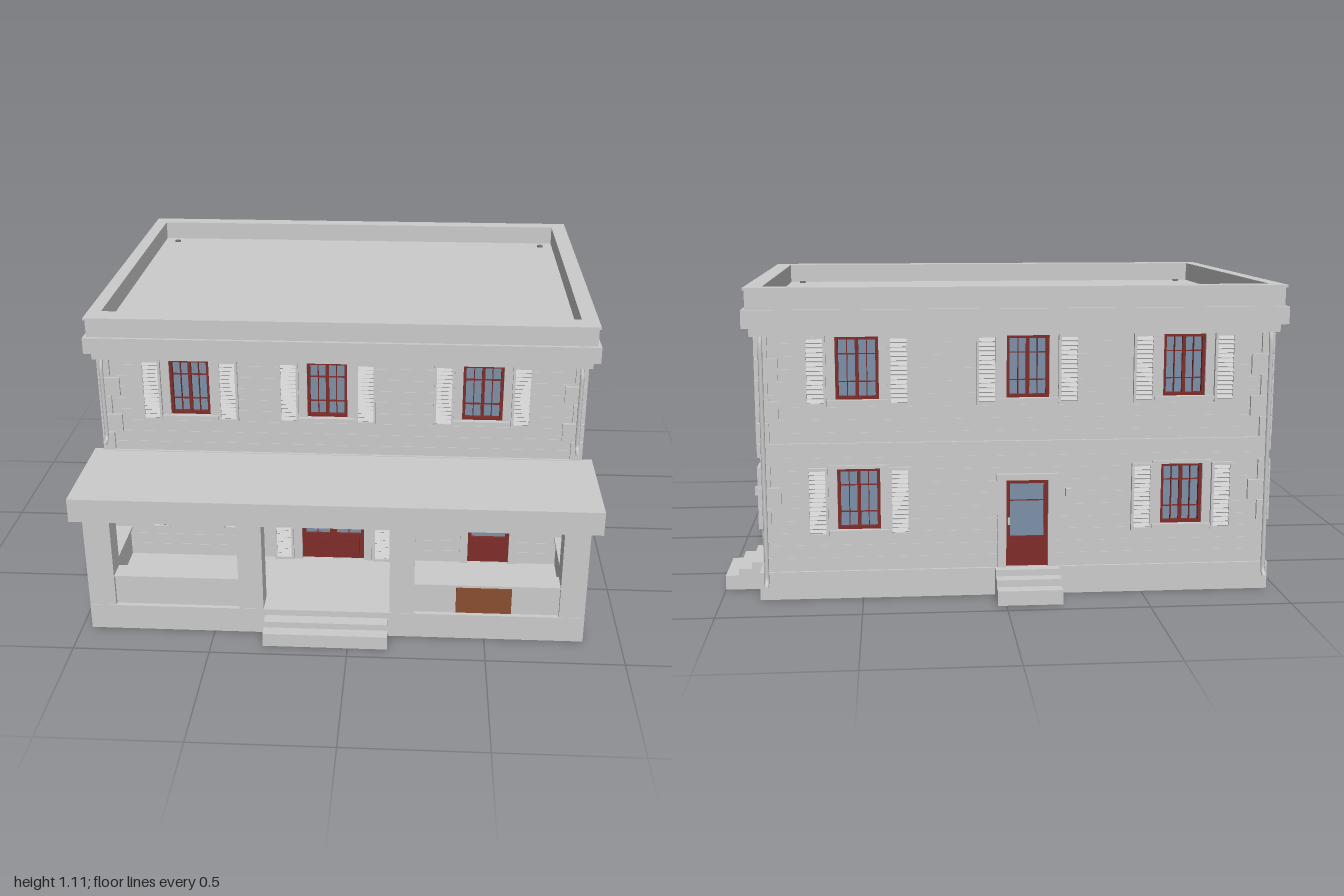
import * as THREE from 'three';

const mat = (color) => new THREE.MeshStandardMaterial({ color });
const grey = mat(0xcccccc), red = mat(0x7f2d2a), glass = mat(0x7d91a8), brown = mat(0x8a4f30);

function add(parent, name, geo, m = grey) {
  const mesh = new THREE.Mesh(geo, m);
  mesh.name = name;
  parent.add(mesh);
  return mesh;
}

// Box given by its minimum and maximum on each axis
function box(parent, name, x0, x1, y0, y1, z0, z1, m = grey) {
  const b = add(parent, name, new THREE.BoxGeometry(x1 - x0, y1 - y0, z1 - z0), m);
  b.position.set((x0 + x1) / 2, (y0 + y1) / 2, (z0 + z1) / 2);
  return b;
}

function rectPath(P, x0, x1, y0, y1) {
  const p = new P();
  p.moveTo(x0, y0); p.lineTo(x1, y0); p.lineTo(x1, y1); p.lineTo(x0, y1); p.closePath();
  return p;
}

// Rectangular plate with rectangular holes, extruded from z0 to z1
function plate(parent, name, rect, holes, z0, z1, m = grey) {
  const s = rectPath(THREE.Shape, ...rect);
  s.holes = holes.map((h) => rectPath(THREE.Path, ...h));
  const mesh = add(parent, name, new THREE.ExtrudeGeometry(s, { depth: z1 - z0, bevelEnabled: false }), m);
  mesh.position.z = z0;
  return mesh;
}

function shutter(parent, cx, y0, y1) {
  const g = new THREE.Group();
  g.name = 'shutter';
  parent.add(g);
  const w = 0.0375, n = Math.round((y1 - y0) / 0.018);
  plate(g, 'shutterFrame', [cx - w, cx + w, y0, y1], [[cx - w + 0.009, cx + w - 0.009, y0 + 0.01, y1 - 0.01]], 0.002, 0.016);
  box(g, 'shutterBack', cx - w + 0.005, cx + w - 0.005, y0 + 0.005, y1 - 0.005, 0, 0.005);
  for (let i = 0; i < n; i++) {
    const slat = add(g, 'slat', new THREE.BoxGeometry(0.06, 0.014, 0.003));
    slat.position.set(cx, y0 + 0.01 + (i + 0.5) * (y1 - y0 - 0.02) / n, 0.01);
    slat.rotation.x = -0.6;
  }
}

const W = 0.075; // half width of windows and single doors

function windowUnit(parent, cx, y0) {
  const g = new THREE.Group(), y1 = y0 + 0.22;
  g.name = 'window';
  parent.add(g);
  box(g, 'pane', cx - W, cx + W, y0, y1, -0.028, -0.02, glass);
  plate(g, 'sash', [cx - W, cx + W, y0, y1], [[cx - W + 0.011, cx + W - 0.011, y0 + 0.011, y1 - 0.011]], -0.02, -0.004, red);
  for (const [dx, t] of [[-0.034, 0.0015], [0, 0.006], [0.034, 0.0015]])
    box(g, 'mullion', cx + dx - t, cx + dx + t, y0, y1, -0.02, -0.009, red);
  for (const f of [0.28, 0.72])
    box(g, 'glazingBar', cx - W, cx + W, y0 + f * 0.22 - 0.0015, y0 + f * 0.22 + 0.0015, -0.02, -0.011, red);
  for (const s of [-1, 1]) {
    const x = cx + s * 0.0905;
    box(g, 'jamb', x - 0.0155, x + 0.0155, y0, y1, 0, 0.006);
    shutter(g, cx + s * 0.1445, y0 - 0.022, y1 + 0.004);
  }
  box(g, 'lintel', cx - 0.106, cx + 0.106, y1, y1 + 0.012, 0, 0.01);
  box(g, 'sill', cx - 0.106, cx + 0.106, y0 - 0.015, y0, -0.02, 0.018);
}

// Glazed door with one or two leaves
function door(parent, cx, half, y1, leaves) {
  const g = new THREE.Group(), lw = 2 * half / leaves;
  g.name = 'door';
  parent.add(g);
  for (let i = 0; i < leaves; i++) {
    const a = cx - half + i * lw, b = a + lw;
    plate(g, 'doorLeaf', [a, b, 0.1, y1], [[a + 0.014, b - 0.014, 0.21, y1 - 0.016]], -0.02, -0.006, red);
    box(g, 'doorPanel', a + 0.02, b - 0.02, 0.12, 0.19, -0.007, -0.003, red);
    box(g, 'doorPane', a, b, 0.2, y1, -0.028, -0.016, glass);
    box(g, 'doorBar', a, b, 0.34, 0.343, -0.02, -0.01, red);
    if (leaves === 2) box(g, 'doorBar', (a + b) / 2 - 0.0015, (a + b) / 2 + 0.0015, 0.2, y1, -0.02, -0.01, red);
    const hx = i ? a + 0.01 : leaves === 2 ? b - 0.01 : a + 0.01;
    box(g, 'handle', hx - 0.004, hx + 0.004, 0.255, 0.28, -0.006, 0.006);
  }
  for (const s of [-1, 1]) {
    const x = cx + s * (half + 0.015);
    box(g, 'doorJamb', x - 0.015, x + 0.015, 0.1, y1, 0, 0.008);
  }
  box(g, 'doorLintel', cx - half - 0.035, cx + half + 0.035, y1, y1 + 0.022, 0, 0.015);
}

// One wall with openings; local x runs along the wall and local z points outward
function facade(root, name, angle, pos, u0, u1, windows, doors) {
  const g = new THREE.Group();
  g.name = name;
  g.rotation.y = angle;
  g.position.set(...pos);
  root.add(g);
  const holes = [
    ...windows.map(([u, v]) => [u - W, u + W, v, v + 0.22]),
    ...doors.map(([u, h, top]) => [u - h, u + h, 0.101, top]),
  ];
  plate(g, 'wall', [u0, u1, 0.09, 0.98], holes, -0.03, 0);
  windows.forEach(([u, v]) => windowUnit(g, u, v));
  doors.forEach((d) => door(g, ...d));
  // Thin siding ledges, interrupted by the openings
  for (let v = 0.145; v < 0.93; v += 0.045) {
    let start = u0;
    const cuts = holes.filter((h) => v > h[2] - 0.02 && v < h[3] + 0.02).sort((a, b) => a[0] - b[0]);
    for (const c of [...cuts, [u1 + 0.03, 0]]) {
      box(g, 'sidingLedge', start, c[0] - 0.03, v, v + 0.004, -0.001, 0.002);
      start = c[1] + 0.03;
    }
  }
  return g;
}

function lamp(parent, u) {
  box(parent, 'lampBracket', u - 0.004, u + 0.004, 0.37, 0.38, 0, 0.012);
  box(parent, 'wallLamp', u - 0.011, u + 0.011, 0.36, 0.39, 0.01, 0.03);
}

function pipe(parent, points) {
  const path = new THREE.CatmullRomCurve3(points.map((p) => new THREE.Vector3(...p)), false, 'catmullrom', 0.1);
  add(parent, 'downpipe', new THREE.TubeGeometry(path, 40, 0.008, 8, false));
}

export function createModel() {
  const root = new THREE.Group();
  root.name = 'house';
  const X0 = -0.95, X1 = 0.85, Z0 = -0.815, Z1 = 0.485;
  box(root, 'foundation', -0.963, 0.863, 0, 0.1, -0.825, 0.862);

  // Four walls
  const up = 0.715, low = 0.25;
  const front = facade(root, 'frontWall', 0, [0, 0, Z1], X0, X1,
    [[-0.617, up], [-0.1, up], [0.48, up], [-0.617, low]], [[-0.083, 0.122, 0.435, 2], [0.525, 0.08, 0.43, 1]]);
  const right = facade(root, 'leftSideWall', Math.PI / 2, [X1, 0, 0], -Z1 + 0.03, -Z0 - 0.03,
    [[-0.21, up], [0.46, up], [-0.21, low]], [[0.585, W, 0.42, 1]]);
  const back = facade(root, 'backWall', Math.PI, [0, 0, Z0], -X1, -X0,
    [[-0.51, up], [0.085, up], [0.64, up], [-0.51, low], [0.64, low]], [[0.085, W, 0.42, 1]]);
  facade(root, 'rightSideWall', -Math.PI / 2, [X0, 0, 0], Z0 + 0.03, Z1 - 0.03,
    [[-0.46, up], [0.21, up], [-0.46, low], [0.21, low]], []);
  for (const s of [-1, 1]) shutter(front, -0.083 + s * 0.193, 0.1, 0.455);
  box(front, 'doorPlaque', 0.465, 0.585, 0.455, 0.488, 0, 0.01, red);
  lamp(front, 0.35);
  lamp(right, 0.73);
  lamp(back, 0.23);

  // Belt course, cornice and parapet
  const ring = (name, d, y0, y1) => box(root, name, X0 - d, X1 + d, y0, y1, Z0 - d, Z1 + d);
  ring('beltCourse', 0.01, 0.515, 0.562);
  ring('corniceLower', 0.024, 0.94, 0.97);
  ring('corniceUpper', 0.047, 0.97, 1.032);
  const parapet = (name, d, y0, y1) => {
    const p = plate(root, name, [X0 - d, X1 + d, -Z1 - d, -Z0 + d], [[-0.94, 0.828, -0.444, 0.79]], 0, y1 - y0);
    p.rotation.x = -Math.PI / 2;
    p.position.y = y0;
  };
  parapet('parapet', 0.034, 1.03, 1.098);
  parapet('parapetCap', 0.04, 1.098, 1.107);
  for (const x of [-0.88, 0.775]) for (const z of [-0.735, 0.39])
    add(root, 'roofDrain', new THREE.CylinderGeometry(0.012, 0.012, 0.008, 16), mat(0x777777)).position.set(x, 1.035, z);

  // Corner quoins, long and short in turn
  for (const sx of [-1, 1]) for (const sz of [-1, 1]) for (const [base, n] of [[0.565, 5], [0.26, 3]])
    for (let i = 0; i < n; i++) {
      const lx = i % 2 ? 0.08 : 0.045, lz = i % 2 ? 0.045 : 0.08, t = 0.011;
      const cx = sx > 0 ? X1 + t : X0 - t, cz = sz > 0 ? Z1 + t : Z0 - t;
      box(root, 'quoin', Math.min(cx, cx - sx * lx), Math.max(cx, cx - sx * lx),
        base + i * 0.075, base + i * 0.075 + 0.071, Math.min(cz, cz - sz * lz), Math.max(cz, cz - sz * lz));
    }

  // Porch roof, posts and low walls
  box(root, 'porchRoof', -1, 0.9, 0.52, 0.56, 0.48, 0.9);
  box(root, 'porchBeam', -1, 0.9, 0.47, 0.53, 0.85, 0.9);
  for (const [a, b] of [[-0.963, -0.865], [-0.405, -0.315], [0.15, 0.24], [0.77, 0.863]])
    box(root, 'porchPost', a, b, 0.1, 0.525, 0.772, 0.86);
  for (const [a, b] of [[-0.865, -0.405], [0.24, 0.77]]) {
    box(root, 'porchLowWall', a, b, 0.1, 0.213, 0.785, 0.845);
    box(root, 'lowWallCap', a, b, 0.213, 0.222, 0.778, 0.855);
  }
  for (const [a, b] of [[-0.948, -0.888], [0.788, 0.848]]) {
    box(root, 'porchSideWall', a, b, 0.1, 0.213, 0.48, 0.775);
    box(root, 'sideWallCap', a - 0.008, b + 0.008, 0.213, 0.222, 0.48, 0.775);
  }
  box(root, 'signBoard', 0.393, 0.595, 0.108, 0.212, 0.845, 0.858, brown);

  // Steps at the three entrances
  box(root, 'frontStep', -0.31, 0.145, 0, 0.052, 0.85, 0.95);
  box(root, 'frontStep', -0.31, 0.145, 0.052, 0.076, 0.85, 0.907);
  [[0.1, 0.045], [0.077, 0.092], [0.052, 0.14]].forEach(([h, d]) => {
    box(root, 'sideStep', 0.83, 0.86 + d, 0, h, -0.698, -0.475);
    box(root, 'backStep', -0.2, 0.03, 0, h, -0.81 - d, -0.8);
  });

  // Downpipes: short in front onto the porch roof, full height behind
  for (const x of [-0.943, 0.837]) {
    pipe(root, [[x, 0.95, 0.49], [x, 0.9, 0.507], [x, 0.63, 0.507], [x, 0.612, 0.52], [x, 0.61, 0.555]]);
    pipe(root, [[x, 0.95, -0.82], [x, 0.9, -0.838], [x, 0.1, -0.838], [x, 0.07, -0.842], [x, 0.055, -0.862]]);
  }
  return root;
}
